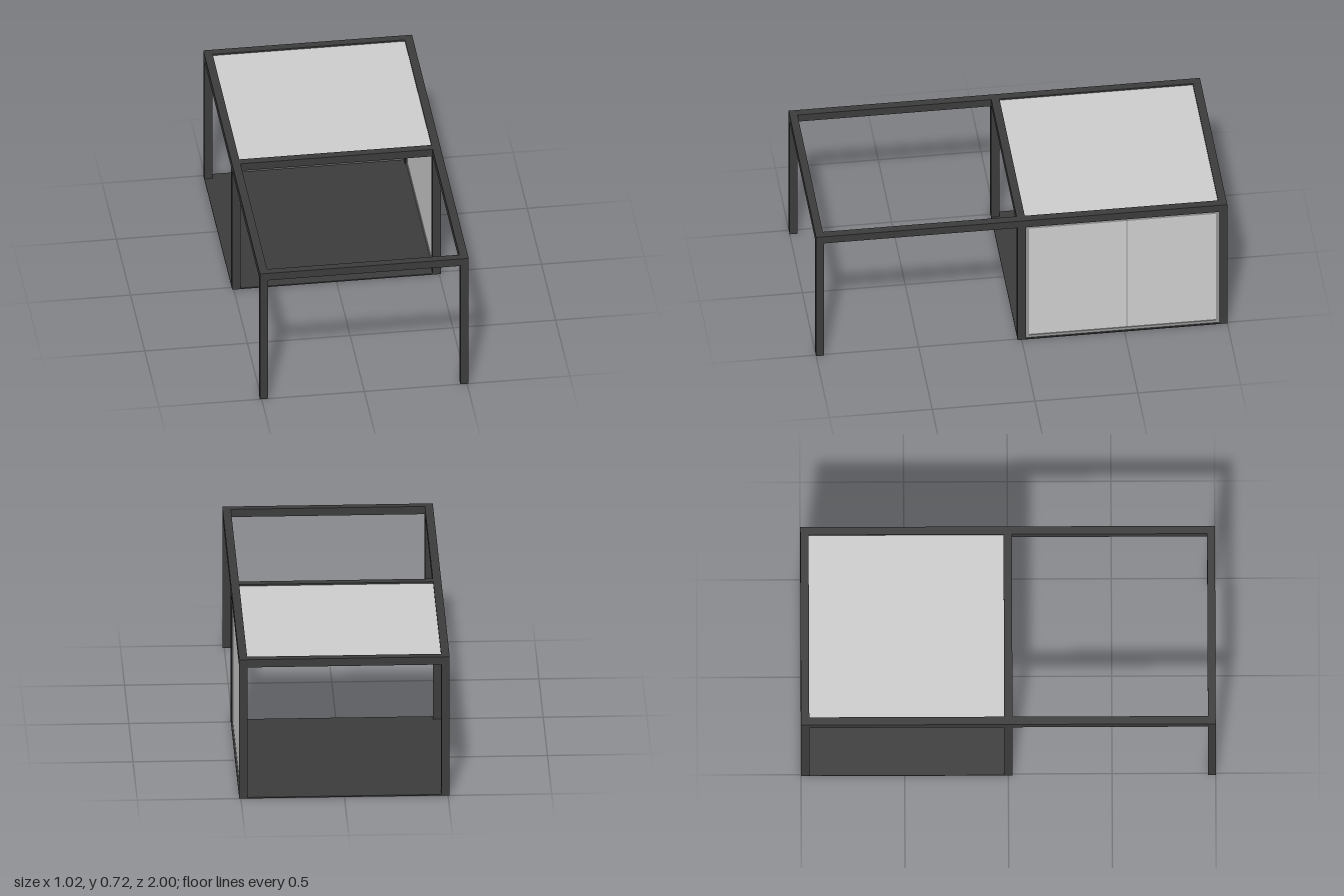
import * as THREE from 'three';

const W = 0.508, H = 0.72, T = 0.04; // half width, height, profile thickness

export function createModel() {
  const model = new THREE.Group();
  const mat = (color) => new THREE.MeshStandardMaterial({ color });
  const dark = mat(0x3b3b3b), grey = mat(0xcccccc), trim = mat(0x949494), green = mat(0xc5e2b2);

  // box given by its limits on each axis
  function box(name, material, [x0, x1], [y0, y1], [z0, z1], parent = model) {
    const mesh = new THREE.Mesh(new THREE.BoxGeometry(x1 - x0, y1 - y0, z1 - z0), material);
    mesh.position.set((x0 + x1) / 2, (y0 + y1) / 2, (z0 + z1) / 2);
    mesh.name = name;
    parent.add(mesh);
    return mesh;
  }
  const inner = W - T;

  // posts and cross beams at the front, middle and back
  for (const [label, z0, z1] of [['front', 0.962, 1], ['middle', -0.02, 0.02], ['back', -1, -0.96]]) {
    for (const [side, x0, x1] of [['Left', inner, W], ['Right', -W, -inner]])
      box(label + side + 'Post', dark, [x0, x1], [0, H - T], [z0, z1]);
    box(label + 'Beam', dark, [-inner, inner], [H - T, H], [z0, z1]);
  }

  // side beams, and the slim shade rails beneath the covered bay
  for (const [side, s] of [['left', 1], ['right', -1]]) {
    const span = (a, b) => [Math.min(s * a, s * b), Math.max(s * a, s * b)];
    box(side + 'SideBeam', dark, span(inner, W), [H - T, H], [-1, 1]);
    box(side + 'ShadeRail', dark, span(0.443, 0.465), [0.668, 0.684], [-0.96, -0.02]);
  }

  // covered bay: floor and roof
  box('floor', dark, [-W, W], [0, 0.006], [-1, 0.02]);
  box('roofPanel', grey, [-inner, inner], [0.692, 0.712], [-0.96, -0.02]);

  // partly drawn shade under the roof
  box('shadeHousing', dark, [-inner, inner], [0.673, 0.692], [-0.96, -0.925]);
  box('shadeCloth', green, [-0.45, 0.45], [0.677, 0.681], [-0.925, -0.747]);
  box('shadePullBar', dark, [-0.45, 0.45], [0.675, 0.683], [-0.747, -0.742]);

  // side wall: two panels inside a slim frame
  const wall = new THREE.Group();
  wall.name = 'leftWall';
  model.add(wall);
  const fx = [0.474, 0.502], px = [0.478, 0.498], e = 0.015;
  const z0 = -0.96, z1 = -0.02, y0 = 0.006, y1 = H - T, mid = -0.513;
  box('wallBottomRail', trim, fx, [y0, y0 + e], [z0, z1], wall);
  box('wallTopRail', trim, fx, [y1 - e, y1], [z0, z1], wall);
  box('wallBackStile', trim, fx, [y0 + e, y1 - e], [z0, z0 + e], wall);
  box('wallFrontStile', trim, fx, [y0 + e, y1 - e], [z1 - e, z1], wall);
  box('wallBackPanel', grey, px, [y0 + e, y1 - e], [z0 + e, mid - 0.002], wall);
  box('wallFrontPanel', grey, px, [y0 + e, y1 - e], [mid + 0.002, z1 - e], wall);
  box('wallPanelSeam', trim, [0.48, 0.496], [y0 + e, y1 - e], [mid - 0.002, mid + 0.002], wall);

  return model;
}
